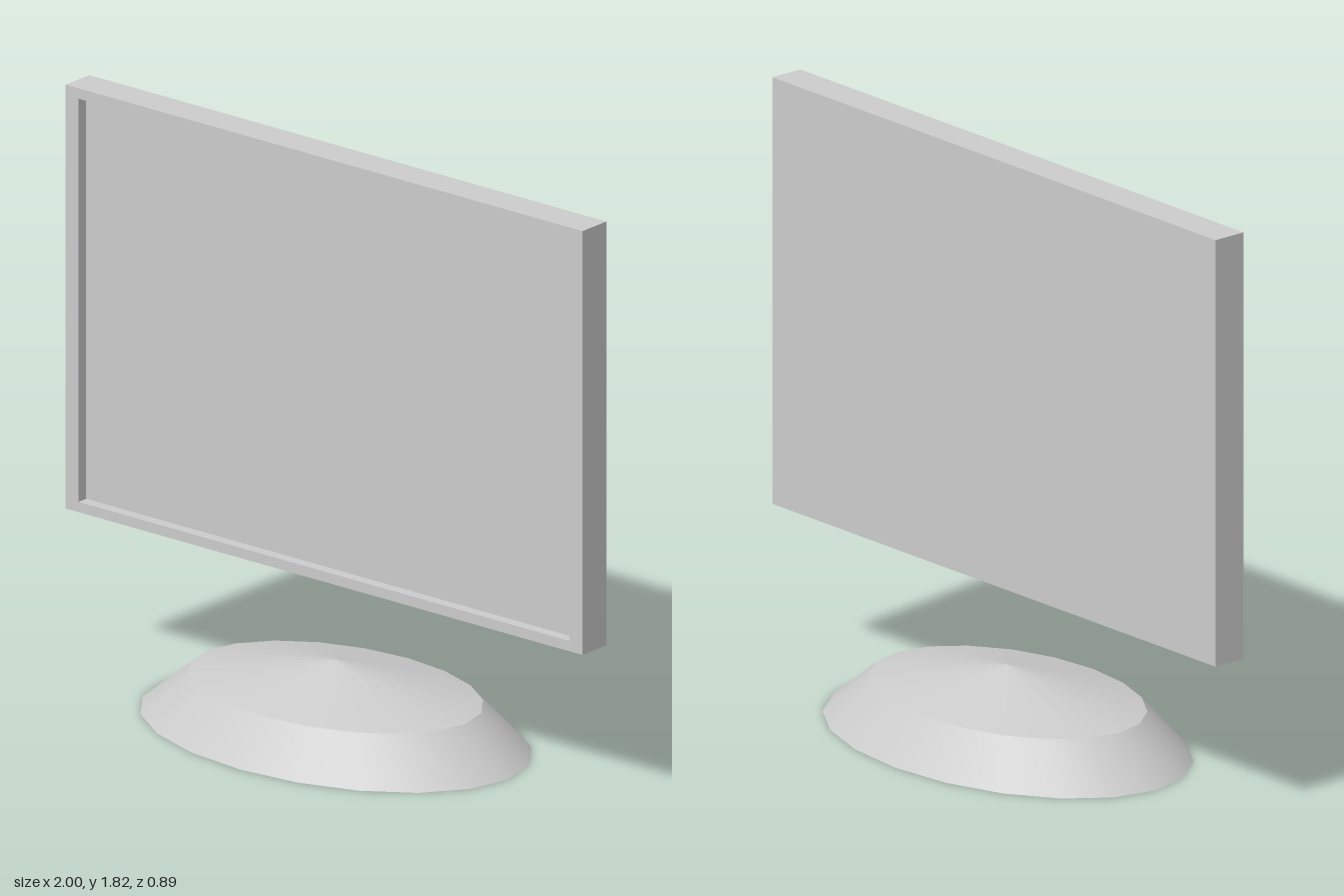
import * as THREE from 'three';

const material = new THREE.MeshStandardMaterial({ color: 0xcccccc });

function addMesh(parent, geometry, name) {
  const mesh = new THREE.Mesh(geometry, material);
  mesh.name = name;
  parent.add(mesh);
  return mesh;
}

// Rectangle outline centred on the origin
function rectangle(Type, width, height) {
  const x = width / 2, y = height / 2;
  return new Type([[-x, -y], [x, -y], [x, y], [-x, y]].map(p => new THREE.Vector2(...p)));
}

export function createModel() {
  const model = new THREE.Group();

  // Screen: back panel with a thin raised bezel around the recessed display
  const width = 2, height = 1.335, depth = 0.11, recess = 0.035;
  const screen = new THREE.Group();
  screen.name = 'screen';
  screen.position.y = 1.152;
  model.add(screen);

  const panel = addMesh(screen, new THREE.BoxGeometry(width, height, depth - recess), 'displayPanel');
  panel.position.z = -recess / 2;

  const outline = rectangle(THREE.Shape, width, height);
  outline.holes.push(rectangle(THREE.Path, 1.9, 1.27));
  const bezel = addMesh(screen, new THREE.ExtrudeGeometry(outline, { depth: recess, bevelEnabled: false }), 'bezel');
  bezel.position.z = depth / 2 - recess;

  // Oval foot: each band is turned separately so the rims stay crisp
  const foot = new THREE.Group();
  foot.name = 'foot';
  model.add(foot);
  const profile = [[0, 0], [0.665, 0], [0.5, 0.137], [0, 0.225]].map(p => new THREE.Vector2(...p));
  ['footUnderside', 'footSide', 'footTop'].forEach((name, i) => {
    const band = new THREE.LatheGeometry(profile.slice(i, i + 2), 20);
    band.scale(1, 1, 0.667);
    addMesh(foot, band, name);
  });

  return model;
}
